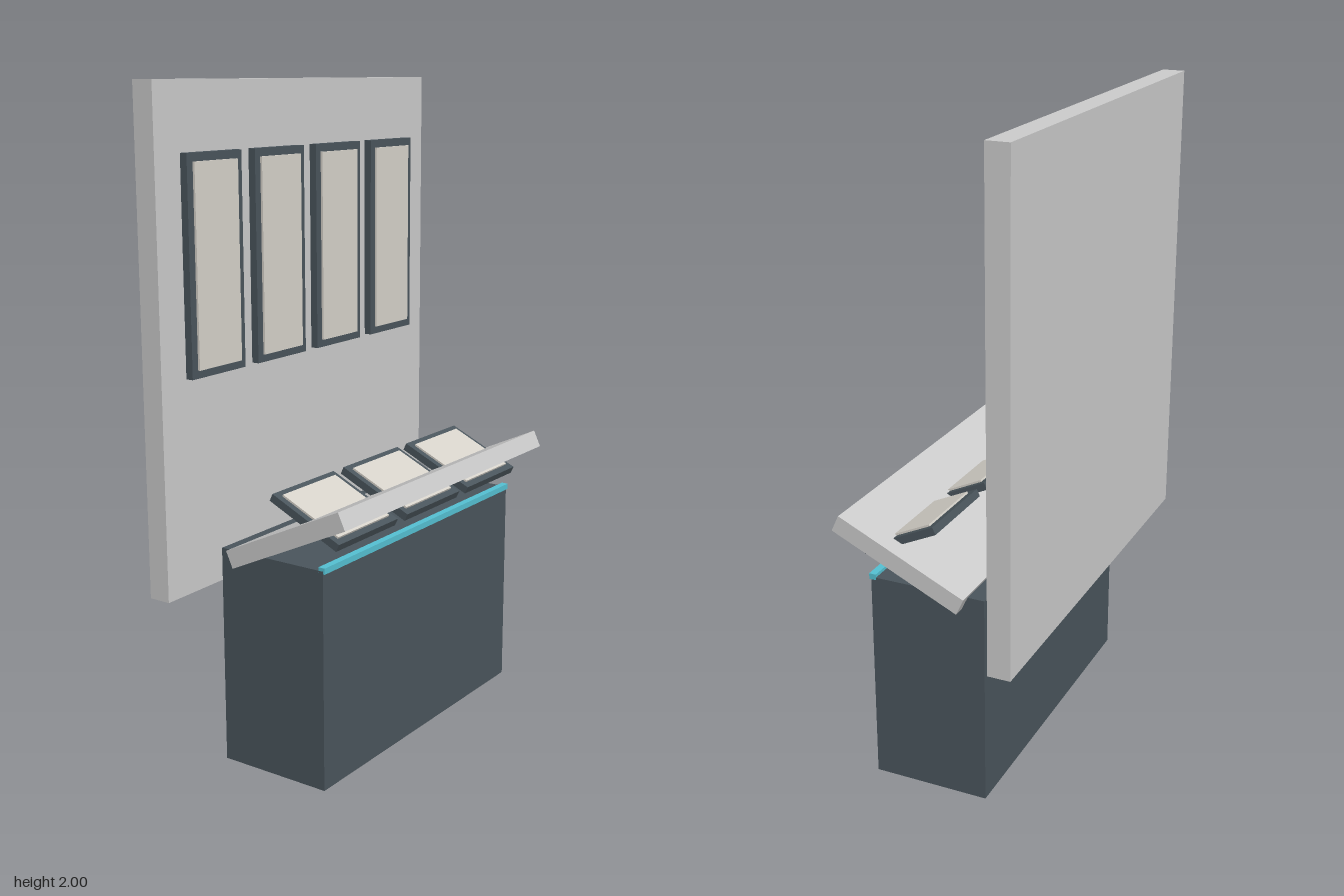
import * as THREE from 'three';

const material = (color) => new THREE.MeshStandardMaterial({ color });

export function createModel() {
  const model = new THREE.Group();
  const grey = material(0xcccccc);
  const dark = material(0x4a555c);
  const pale = material(0xd6d2ca);
  const cyan = material(0x55c0d2);

  function box(parent, name, mat, size, position) {
    const mesh = new THREE.Mesh(new THREE.BoxGeometry(...size), mat);
    mesh.name = name;
    mesh.position.set(...position);
    parent.add(mesh);
    return mesh;
  }

  // A framed display lying flat: its face points to +y, long side along x
  function display(name, length, width, thickness, border, relief) {
    const group = new THREE.Group();
    group.name = name;
    box(group, 'frame', dark, [length, thickness, width], [0, 0, 0]);
    box(group, 'screen', pale, [length - 2 * border, relief * 2, width - 2 * border], [0, thickness / 2, 0]);
    model.add(group);
    return group;
  }

  // Back wall with a row of four upright displays
  box(model, 'wallPanel', grey, [0.07, 1.475, 1.33], [-0.274, 1.2625, 0]);
  for (let i = 0; i < 4; i++) {
    const screen = display('wallDisplay', 0.635, 0.235, 0.026, 0.024, 0.007);
    screen.rotation.z = -Math.PI / 2;
    screen.position.set(-0.228, 1.485, (i - 1.5) * 0.296);
  }

  // Console body with a light strip along its front top edge
  box(model, 'consoleBase', dark, [0.365, 0.667, 1.032], [0.022, 0.3335, 0]);
  box(model, 'lightStrip', cyan, [0.022, 0.018, 1.032], [0.2, 0.668, 0]);

  // Sloping desk top
  const tilt = THREE.MathUtils.degToRad(25);
  const desk = box(model, 'deskTop', grey, [0.439, 0.055, 1.108], [0.0975, 0.745, 0]);
  desk.rotation.z = tilt;

  // Three displays leaning against the slope and cutting through it
  for (let i = -1; i <= 1; i++) {
    const screen = display('deskDisplay', 0.256, 0.295, 0.024, 0.021, 0.006);
    screen.rotation.z = -tilt;
    screen.position.set(0.123, 0.789, i * 0.346);
  }

  return model;
}
